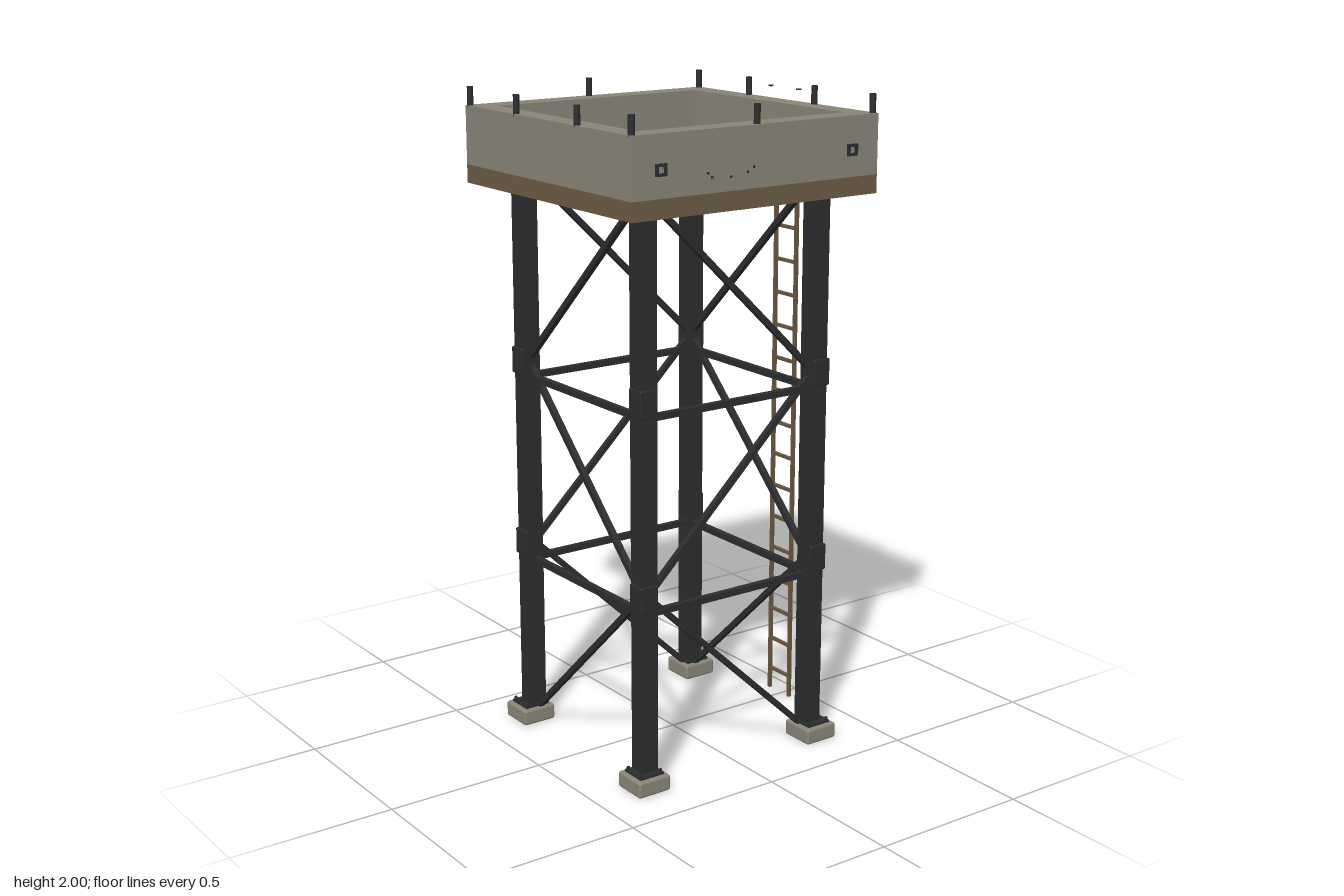
import * as THREE from 'three';
import { RoundedBoxGeometry } from 'three/addons/geometries/RoundedBoxGeometry.js';

const mat = (name, color) => {
  const m = new THREE.MeshStandardMaterial({ color });
  m.name = name;
  return m;
};

export function createModel() {
  const concrete = mat('grey concrete', 0x888476);
  const wood = mat('brown timber', 0x6d5b45);
  const steel = mat('dark steel', 0x2b2c2e);
  const ladderMat = mat('weathered ladder brown', 0x6a5740);

  const root = new THREE.Group();
  root.name = 'watchtower';
  const CX = -0.0135, CZ = -0.003; // tower axis

  const group = (name) => {
    const g = new THREE.Group();
    g.name = name;
    root.add(g);
    return g;
  };
  const add = (parent, name, geo, material, x, y, z) => {
    const m = new THREE.Mesh(geo, material);
    m.name = name;
    m.position.set(x, y, z);
    parent.add(m);
    return m;
  };
  const box = (parent, name, material, w, h, d, x, y, z) =>
    add(parent, name, new THREE.BoxGeometry(w, h, d), material, x, y, z);

  // Square bar running between two points
  const bar = (parent, name, a, b, size) => {
    const p = new THREE.Vector3(...a), q = new THREE.Vector3(...b);
    const m = box(parent, name, steel, size, size, p.distanceTo(q), 0, 0, 0);
    m.position.copy(p).add(q).multiplyScalar(0.5);
    m.lookAt(q);
  };

  // Rectangular outline with a rectangular hole, extruded along z
  const frameGeo = (w, h, iw, ih, depth) => {
    const rect = (P, a, b) => {
      const p = new P();
      p.moveTo(-a / 2, -b / 2);
      p.lineTo(a / 2, -b / 2);
      p.lineTo(a / 2, b / 2);
      p.lineTo(-a / 2, b / 2);
      p.closePath();
      return p;
    };
    const s = rect(THREE.Shape, w, h);
    s.holes.push(rect(THREE.Path, iw, ih));
    return new THREE.ExtrudeGeometry(s, { depth, bevelEnabled: false });
  };

  // Platform: timber deck and parapet wall
  const platform = group('platform');
  box(platform, 'deck', wood, 0.857, 0.055, 0.86, -0.0125, 1.7425, -0.005);
  const wall = frameGeo(0.857, 0.86, 0.717, 0.714, 0.175).rotateX(-Math.PI / 2);
  add(platform, 'parapet', wall, concrete, -0.0125, 1.77, -0.005);

  // Legs with footings, base plates, splice collars and caps
  const legs = group('legs');
  for (const sx of [-1, 1]) for (const sz of [-1, 1]) {
    const at = (r) => [CX + sx * r, CZ + sz * r];
    const [lx, lz] = at(0.308), [ox, oz] = at(0.316), [kx, kz] = at(0.312);
    box(legs, 'leg', steel, 0.055, 1.73, 0.055, lx, 0.905, lz);
    add(legs, 'footing', new RoundedBoxGeometry(0.112, 0.05, 0.112, 2, 0.008), concrete, ox, 0.03, oz);
    box(legs, 'basePlate', steel, 0.082, 0.008, 0.082, ox, 0.058, oz);
    for (const bx of [-1, 1]) for (const bz of [-1, 1])
      add(legs, 'anchorBolt', new THREE.CylinderGeometry(0.005, 0.005, 0.012, 6), steel,
        ox + bx * 0.034, 0.065, oz + bz * 0.034);
    for (const y of [0.6, 1.18])
      add(legs, 'collar', new RoundedBoxGeometry(0.06, 0.082, 0.06, 1, 0.004), steel, kx, y, kz);
    box(legs, 'headPlate', steel, 0.07, 0.01, 0.07, lx, 1.71, lz);
    add(legs, 'legCap', new RoundedBoxGeometry(0.053, 0.03, 0.053, 2, 0.005), steel, ox, 1.775, oz);
  }

  // Zigzag diagonals and horizontal ties on each of the four sides
  const bracing = group('bracing');
  const R = 0.305;
  for (const s of [-1, 1]) {
    const faces = [
      (u, y) => [CX + u, y, CZ + s * R],
      (u, y) => [CX + s * R, y, CZ - u],
    ];
    for (const f of faces) {
      for (const y of [0.545, 1.13, 1.712]) bar(bracing, 'horizontalTie', f(-R, y), f(R, y), 0.019);
      bar(bracing, 'lowerDiagonal', f(-R, 0.605), f(0.29, 0.045), 0.017);
      bar(bracing, 'middleDiagonal', f(-R, 0.59), f(R, 1.18), 0.017);
      bar(bracing, 'upperDiagonal', f(-0.26, 1.725), f(R, 1.18), 0.017);
    }
  }

  // Short posts along the rim of the parapet
  const posts = group('rimPosts');
  const postGeo = new THREE.CylinderGeometry(0.0095, 0.0095, 0.062, 8);
  for (const x of [-0.432, -0.0135, 0.405]) for (const z of [-0.422, -0.163, 0.152, 0.412]) {
    if (x === -0.0135 && Math.abs(z) < 0.3) continue;
    add(posts, 'rimPost', postGeo, steel, x, 1.969, z);
  }
  // Thin discs above the ladder
  for (const z of [-0.073, 0.06])
    add(posts, 'handholdDisc', new THREE.CylinderGeometry(0.008, 0.008, 0.004, 8), steel, 0.42, 1.98, z);

  // Ladder on the left-hand (+x) side
  const ladder = group('ladder');
  for (const z of [-0.054, 0.045]) box(ladder, 'ladderRail', ladderMat, 0.011, 1.76, 0.01, 0.4335, 0.89, z);
  for (let i = 0; i < 17; i++)
    box(ladder, 'rung', ladderMat, 0.009, 0.01, 0.1, 0.4335, 0.08 + i * 0.1053, -0.0045);

  // Small square frames and studs on the front wall
  const fittings = group('frontFittings');
  for (const x of [-0.347, 0.319])
    add(fittings, 'squareFrame', frameGeo(0.036, 0.034, 0.02, 0.018, 0.008), steel, x, 1.848, 0.424);
  for (const [x, y] of [[-0.19, 1.826], [-0.177, 1.814], [-0.113, 1.81], [-0.055, 1.818], [-0.034, 1.83]])
    box(fittings, 'stud', steel, 0.006, 0.006, 0.004, x, y, 0.426);

  return root;
}
